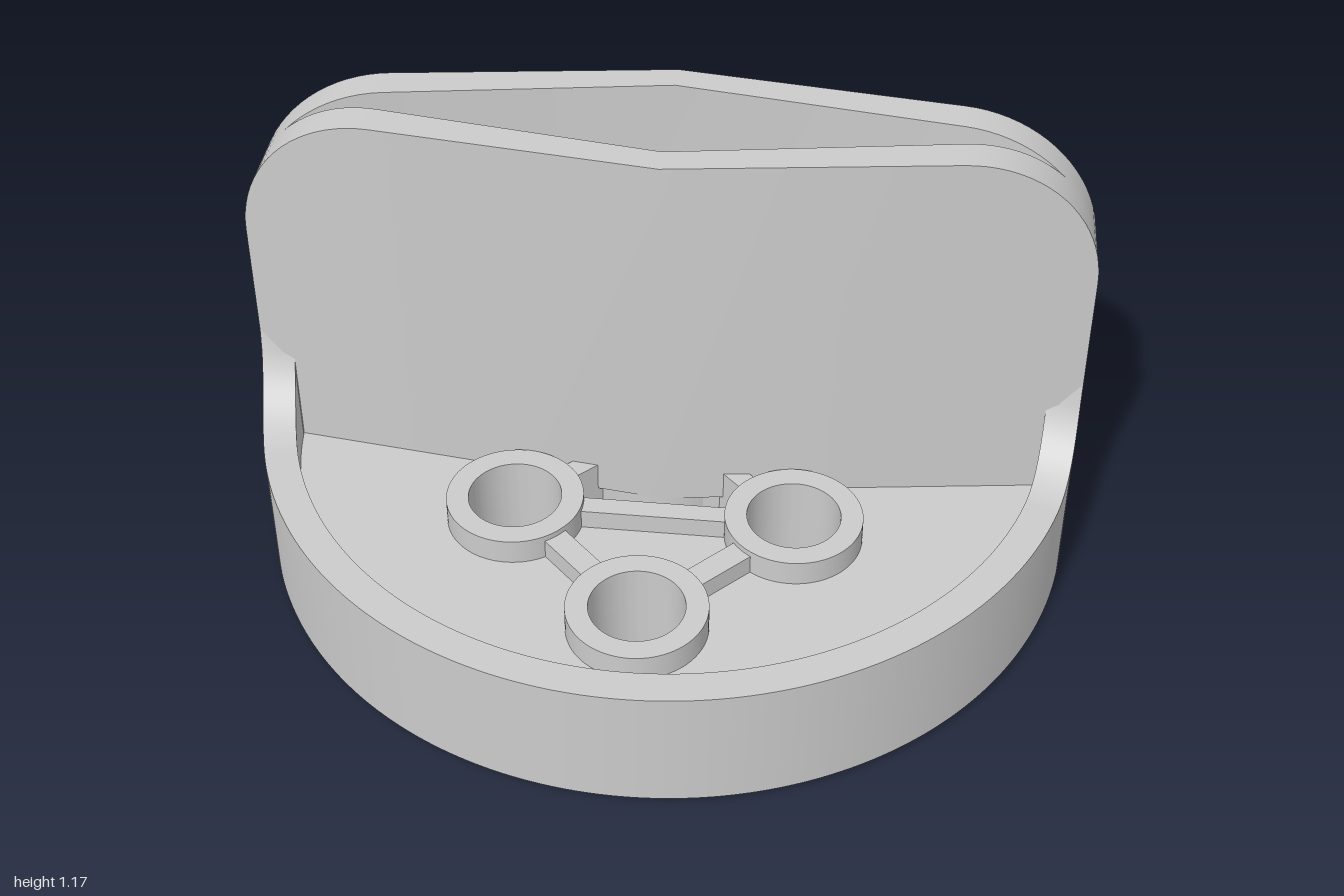
import * as THREE from 'three';
import { toCreasedNormals } from 'three/addons/utils/BufferGeometryUtils.js';

const material = new THREE.MeshStandardMaterial({ color: 0xcccccc });
const thin = new THREE.MeshStandardMaterial({ color: 0xcccccc, side: THREE.DoubleSide });

// Skin a list of equal four-point cross-sections, capped at both ends unless closed
function loft(sections, closed) {
  const pos = [];
  const tri = (a, b, c) => pos.push(...a, ...b, ...c);
  const n = sections.length;
  for (let i = 0; i < (closed ? n : n - 1); i++) {
    const s = sections[i], e = sections[(i + 1) % n];
    for (let j = 0; j < 4; j++) {
      const k = (j + 1) % 4;
      tri(s[j], s[k], e[j]);
      tri(s[k], e[k], e[j]);
    }
  }
  if (!closed) {
    const s = sections[0], e = sections[n - 1];
    tri(s[0], s[2], s[1]); tri(s[0], s[3], s[2]);
    tri(e[0], e[1], e[2]); tri(e[0], e[2], e[3]);
  }
  const g = new THREE.BufferGeometry();
  g.setAttribute('position', new THREE.Float32BufferAttribute(pos, 3));
  return toCreasedNormals(g, 0.5);
}

// Flat shape in plan, raised from y0 to y1
function slab(shape, y0, y1) {
  const g = new THREE.ExtrudeGeometry(shape, { depth: y1 - y0, bevelEnabled: false, curveSegments: 48 });
  g.rotateX(-Math.PI / 2).translate(0, y0, 0);
  return toCreasedNormals(g, 0.5);
}

const circle = (path, x, y, r) => path.absarc(x, y, r, 0, Math.PI * 2, false);
const polygon = (points) => new THREE.Path(points.map(([x, y]) => new THREE.Vector2(x, y)));

export function createModel() {
  const group = new THREE.Group();
  const add = (name, geometry, mat = material) => {
    const mesh = new THREE.Mesh(geometry, mat);
    mesh.name = name;
    group.add(mesh);
    return mesh;
  };

  // Outer rim, sweeping up in a fillet to meet the ends of the grip
  const rimTop = (z) => {
    const d = Math.min(0.22, Math.max(0, 0.3 - Math.abs(z)));
    return 0.55 - Math.sqrt(0.22 ** 2 - d ** 2);
  };
  const rim = [];
  for (let i = 0; i < 480; i++) {
    const a = (i / 480) * Math.PI * 2, c = Math.cos(a), s = Math.sin(a);
    const top = rimTop(s);
    rim.push([[0.92, 0.015], [1, 0.015], [1, top], [0.92, top]].map(([r, y]) => [r * c, y, r * s]));
  }
  add('rim', loft(rim, true));

  // Hollow grip: two bowed walls that merge at the tips, with rounded top corners
  const half = [[0, 1.17]];
  for (let i = 0; i <= 20; i++) {
    const t = (i / 20) * Math.PI / 2;
    half.push([0.67 + 0.33 * Math.sin(t), 0.84 + 0.33 * Math.cos(t)]);
  }
  const outline = [...half.slice(1).reverse().map(([x, y]) => [-x, y]), ...half];
  const wall = outline.map(([x, top]) => {
    const out = 0.08 + 0.13 * (1 - Math.abs(x));
    const inn = Math.max(0, 0.14 * (1 - Math.abs(x) / 0.9));
    const px = x * 0.997;
    return [[px, top, out], [px, 0.2, out], [px, 0.2, inn], [px, top, inn]];
  });
  const wallGeometry = loft(wall, false);
  add('gripFrontWall', wallGeometry);
  add('gripBackWall', wallGeometry).rotation.y = Math.PI;

  // Floor with screw holes, vents beside the grip, a square shaft hole and a pointer dimple
  const centres = [[0, 0.675], [0, -0.675]];
  for (const sx of [1, -1]) for (const sz of [1, -1]) centres.push([0.335 * sx, 0.335 * sz]);
  const floor = circle(new THREE.Shape(), 0, 0, 0.93);
  for (const [x, z] of centres) floor.holes.push(circle(new THREE.Path(), x, z, 0.14));
  for (const s of [1, -1]) {
    floor.holes.push(polygon([[-0.2, 0.18 * s], [0.2, 0.18 * s], [0.2, 0.22 * s], [0.17, 0.32 * s], [-0.17, 0.32 * s], [-0.2, 0.22 * s]]));
  }
  floor.holes.push(polygon([[-0.08, -0.08], [0.08, -0.08], [0.08, 0.08], [-0.08, 0.08]]));
  floor.holes.push(circle(new THREE.Path(), -0.53, 0, 0.09));
  add('floor', slab(floor, 0.145, 0.225));

  // Dome closing the dimple from above
  const dome = add('pointerDimple', new THREE.SphereGeometry(0.09, 24, 8, 0, Math.PI * 2, 0, Math.PI / 2), thin);
  dome.position.set(-0.53, 0.16, 0);
  dome.scale.y = 0.8;

  // Screw bosses and central hub
  const tube = (ro, ri) => {
    const s = circle(new THREE.Shape(), 0, 0, ro);
    s.holes.push(circle(new THREE.Path(), 0, 0, ri));
    return s;
  };
  const boss = slab(tube(0.165, 0.112), 0.06, 0.29);
  for (const [x, z] of centres) add('screwBoss', boss).position.set(x, 0, z);
  add('hub', slab(tube(0.208, 0.13), 0, 0.29));

  // Stiffening ribs, each trimmed short of the bores it joins
  const rib = (x0, z0, x1, z1, trim0, trim1, width = 0.05) => {
    const dx = x1 - x0, dz = z1 - z0, len = Math.hypot(dx, dz);
    const mesh = add('rib', new THREE.BoxGeometry(len - trim0 - trim1, 0.2, width));
    const mid = (len + trim0 - trim1) / 2 / len;
    mesh.position.set(x0 + dx * mid, 0.175, z0 + dz * mid);
    mesh.rotation.y = -Math.atan2(dz, dx);
  };
  for (const s of [1, -1]) {
    rib(-0.335, 0.335 * s, 0.335, 0.335 * s, 0.14, 0.14);
    rib(0.335 * s, -0.335, 0.335 * s, 0.335, 0.14, 0.14);
    rib(0, 0, 0.36 * s, 0, 0.17, 0, 0.04);
    for (const t of [1, -1]) {
      rib(0, 0.675 * s, 0.335 * t, 0.335 * s, 0.14, 0.14, 0.06);
      rib(0, 0, 0.335 * t, 0.335 * s, 0.17, 0.14);
    }
  }
  return group;
}
